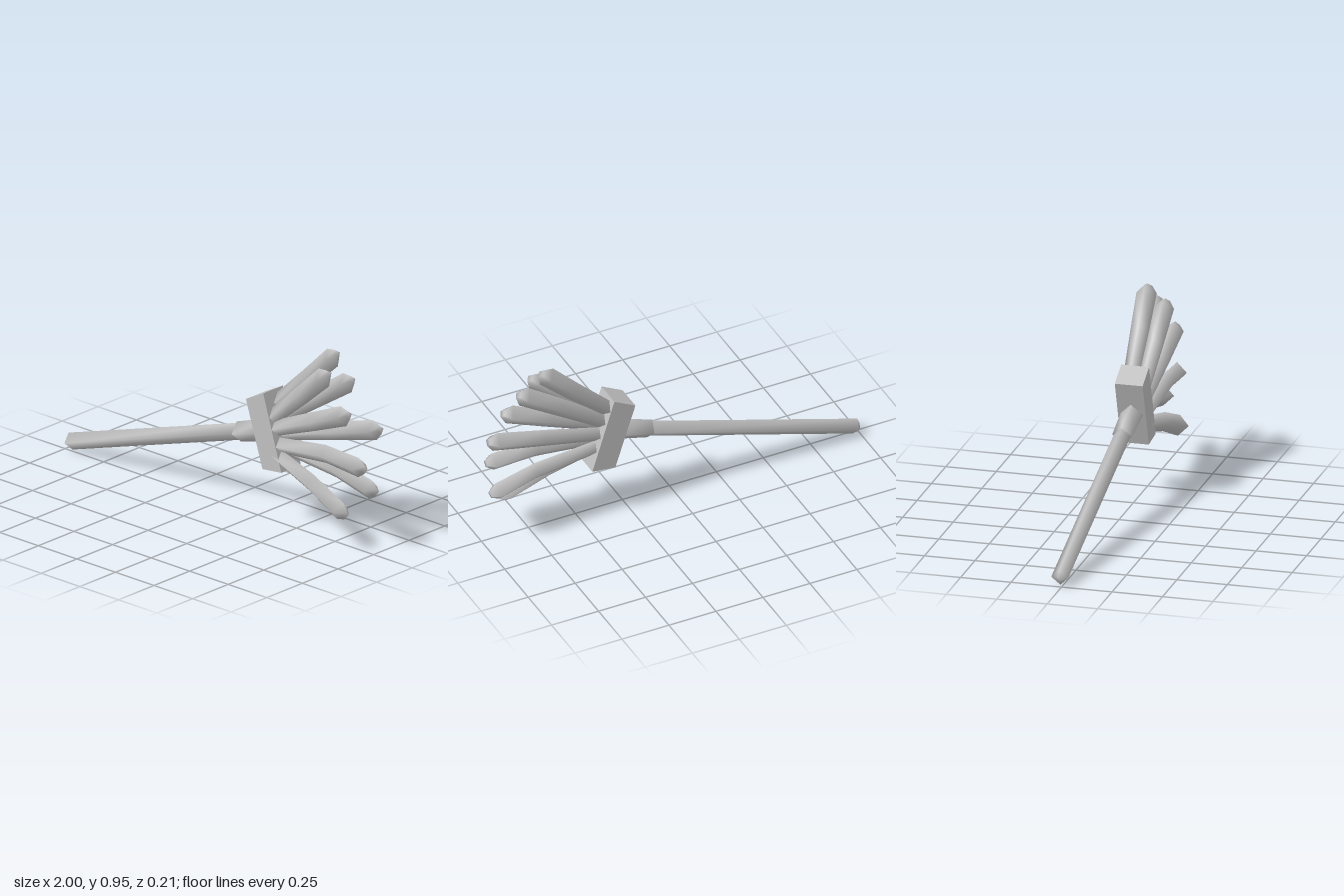
import * as THREE from 'three';

const V = (x, y, z) => new THREE.Vector3(x, y, z);

// Smooth four-sided rod through a list of [x, y, z, radius] rings, closed at both ends
function rod(rings, sides = 4) {
  const pts = rings.map(([x, y, z]) => V(x, y, z));
  const pos = [], index = [];
  rings.forEach((ring, k) => {
    const t = pts[Math.min(k + 1, pts.length - 1)].clone().sub(pts[Math.max(k - 1, 0)]).normalize();
    const v = V(0, 0, 1).addScaledVector(t, -t.z).normalize();
    const u = v.clone().cross(t);
    for (let i = 0; i < sides; i++) {
      const a = (i / sides) * Math.PI * 2;
      const p = pts[k].clone()
        .addScaledVector(u, Math.cos(a) * ring[3])
        .addScaledVector(v, Math.sin(a) * ring[3]);
      pos.push(p.x, p.y, p.z);
    }
  });
  for (let k = 0; k < rings.length - 1; k++) {
    for (let i = 0; i < sides; i++) {
      const a = k * sides + i, b = k * sides + (i + 1) % sides;
      index.push(a, b, a + sides, b, b + sides, a + sides);
    }
  }
  const last = (rings.length - 1) * sides;
  for (let i = 1; i < sides - 1; i++) {
    index.push(0, i + 1, i);
    index.push(last, last + i, last + i + 1);
  }
  const g = new THREE.BufferGeometry();
  g.setAttribute('position', new THREE.Float32BufferAttribute(pos, 3));
  g.setIndex(index);
  g.computeVertexNormals();
  return g;
}

// Bristle bundle: thin at the root, thicker towards a chamfered tip
function bristle(root, mid, tip) {
  const end = V(...tip);
  const neck = end.clone().add(V(...mid).sub(end).setLength(0.04));
  return rod([
    [...root, 0.038],
    [...mid, 0.046],
    [neck.x, neck.y, neck.z, 0.05],
    [...tip, 0.02],
  ]);
}

export function createModel() {
  const group = new THREE.Group();
  const grey = new THREE.MeshStandardMaterial({ color: 0xc0c0c0 });
  const add = (name, geometry) => {
    const mesh = new THREE.Mesh(geometry, grey);
    mesh.name = name;
    group.add(mesh);
  };
  const zMid = -0.015;

  // Long handle with a chamfered end
  add('handle', rod([
    [-0.999, 0.038, zMid, 0.018],
    [-0.979, 0.044, zMid, 0.042],
    [0.16, 0.406, zMid, 0.042],
  ]));

  // Collar between handle and head
  add('collar', rod([
    [0.112, 0.39, zMid, 0.05],
    [0.32, 0.455, zMid, 0.058],
  ]));

  // Slightly skewed head block
  const outline = new THREE.Shape([
    [0.222, 0.607], [0.329, 0.276], [0.451, 0.29], [0.334, 0.666],
  ].map(([x, y]) => new THREE.Vector2(x, y)));
  const head = new THREE.ExtrudeGeometry(outline, { depth: 0.138, bevelEnabled: false });
  head.translate(0, 0, zMid - 0.069);
  add('head', head);

  // Fan of bristles: root, bend, tip
  [
    [[0.35, 0.605, -0.04], [0.54, 0.777, -0.05], [0.71, 0.94, -0.058]],
    [[0.36, 0.54, 0.012], [0.55, 0.705, 0.018], [0.73, 0.865, 0.025]],
    [[0.36, 0.525, -0.03], [0.60, 0.69, -0.037], [0.825, 0.84, -0.042]],
    [[0.37, 0.485, 0.015], [0.63, 0.593, 0.025], [0.872, 0.695, 0.035]],
    [[0.38, 0.455, -0.028], [0.69, 0.542, -0.043], [0.993, 0.625, -0.058]],
    [[0.38, 0.405, 0.012], [0.71, 0.447, 0.018], [0.965, 0.435, 0.025]],
    [[0.38, 0.39, -0.03], [0.73, 0.36, -0.038], [0.975, 0.30, -0.045]],
    [[0.38, 0.36, 0.015], [0.64, 0.285, 0.04], [0.875, 0.185, 0.062]],
  ].forEach((path, i) => add('bristle' + (i + 1), bristle(...path)));

  return group;
}
